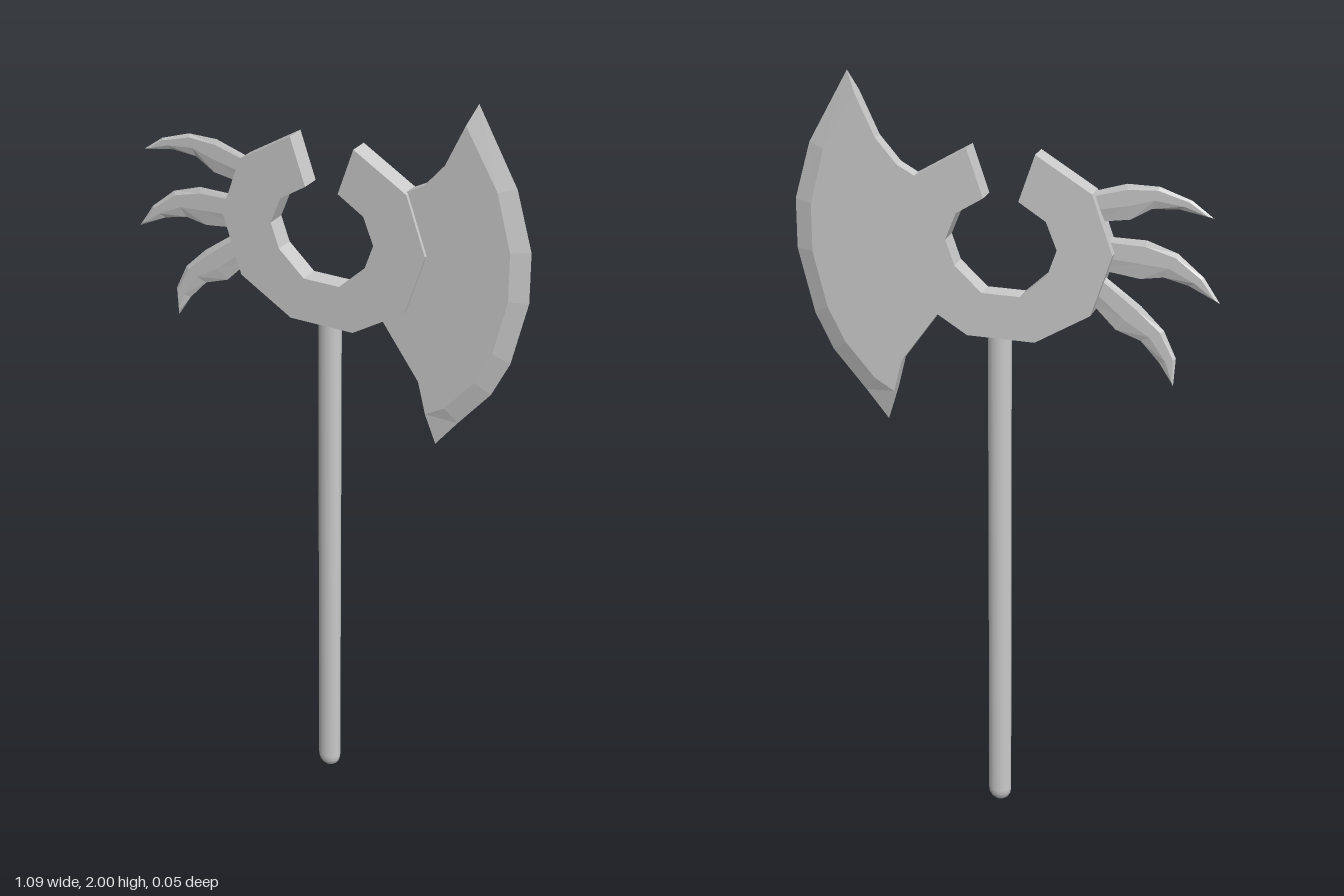
import * as THREE from 'three';

const flat = new THREE.MeshStandardMaterial({ color: 0xcccccc, flatShading: true });
const smooth = new THREE.MeshStandardMaterial({ color: 0xcccccc });

const vecs = (list) => list.map(([x, y]) => new THREE.Vector2(x, y));

function addMesh(group, name, geometry, material) {
  const mesh = new THREE.Mesh(geometry, material);
  mesh.name = name;
  group.add(mesh);
  return mesh;
}

// Slab with flat faces at z = +-t whose rim slopes out to an edge at z = 0.
// face and edge hold matching points; where they coincide the rim is upright.
function bevelledSlab(face, edge, t) {
  if (THREE.ShapeUtils.isClockWise(edge)) {
    face = [...face].reverse();
    edge = [...edge].reverse();
  }
  const pos = [];
  const tri = (...corners) => corners.forEach(([p, z]) => pos.push(p.x, p.y, z));
  for (const [a, b, c] of THREE.ShapeUtils.triangulateShape(face, [])) {
    tri([face[a], t], [face[b], t], [face[c], t]);
    tri([face[a], -t], [face[c], -t], [face[b], -t]);
  }
  face.forEach((f, i) => {
    const j = (i + 1) % face.length;
    const g = face[j], e = edge[i], h = edge[j];
    tri([f, t], [e, 0], [h, 0]);
    tri([f, t], [h, 0], [g, t]);
    tri([f, -t], [h, 0], [e, 0]);
    tri([f, -t], [g, -t], [h, 0]);
  });
  const geometry = new THREE.BufferGeometry();
  geometry.setAttribute('position', new THREE.Float32BufferAttribute(pos, 3));
  geometry.computeVertexNormals();
  return geometry;
}

// Curved claw: upper and lower lines run from tip to root
function clawGeometry(tip, upper, lower) {
  const up = vecs(upper), low = vecs(lower), point = new THREE.Vector2(...tip);
  const innerUp = up.map((p, i) => p.clone().lerp(low[i], 0.15));
  const innerLow = low.map((p, i) => p.clone().lerp(up[i], 0.4));
  const innerTip = point.clone().lerp(up[0].clone().add(low[0]).multiplyScalar(0.5), 0.2);
  return bevelledSlab(
    [innerTip, ...innerLow, ...innerUp.reverse()],
    [point, ...low, ...up.reverse()],
    0.006
  );
}

export function createModel() {
  const model = new THREE.Group();
  model.name = 'axe';

  // Slightly flattened handle with a rounded foot
  const profile = vecs([[0, 0], [0.013, 0.003], [0.023, 0.011], [0.029, 0.022], [0.031, 0.036], [0.031, 1.38], [0, 1.38]]);
  const shaft = new THREE.LatheGeometry(profile.slice(0, 6), 16);
  shaft.scale(1, 1, 0.74);
  addMesh(model, 'handle', shaft, smooth).position.x = 0.01;

  // Open ring: one half of the outline, mirrored across x
  const outer = [[0.087, 1.836], [0.23, 1.75], [0.283, 1.6], [0.23, 1.44], [0.088, 1.354]];
  const inner = [[0.05, 1.47], [0.12, 1.535], [0.143, 1.6], [0.115, 1.67], [0.045, 1.714]];
  const mirror = (list) => list.map(([x, y]) => [-x, y]).reverse();
  const ringShape = new THREE.Shape(vecs([...outer, ...mirror(outer), ...mirror(inner), ...inner]));
  const ring = new THREE.ExtrudeGeometry(ringShape, { depth: 0.052, bevelEnabled: false });
  ring.translate(0, 0, -0.026);
  addMesh(model, 'ring', ring, flat);

  // Blade: upright back, sharpened front; the back stays hidden in the ring
  const back = vecs([[0.267, 1.26], [0.167, 1.4], [0.17, 1.5], [0.2, 1.6], [0.18, 1.7], [0.22, 1.75], [0.27, 1.777], [0.325, 1.84]]);
  const cutting = vecs([[0.4, 2], [0.505, 1.81], [0.547, 1.66], [0.547, 1.53], [0.505, 1.36], [0.457, 1.265], [0.37, 1.164], [0.31, 1.09]]);
  const bevel = vecs([[0.376, 1.948], [0.462, 1.8], [0.5, 1.655], [0.5, 1.53], [0.464, 1.385], [0.418, 1.295], [0.34, 1.205], [0.286, 1.185]]);
  bevel[7].set(0.288, 1.175);
  addMesh(model, 'blade', bevelledSlab([...back, ...bevel], [...back, ...cutting], 0.017), flat);

  // Three claws opposite the blade
  const claws = [
    [[-0.525, 1.71],
      [[-0.47, 1.75], [-0.39, 1.777], [-0.31, 1.777], [-0.22, 1.749]],
      [[-0.44, 1.725], [-0.372, 1.72], [-0.32, 1.688], [-0.22, 1.672]]],
    [[-0.547, 1.497],
      [[-0.505, 1.56], [-0.44, 1.614], [-0.362, 1.64], [-0.23, 1.64]],
      [[-0.468, 1.535], [-0.405, 1.55], [-0.347, 1.54], [-0.23, 1.555]]],
    [[-0.437, 1.27],
      [[-0.442, 1.344], [-0.41, 1.413], [-0.352, 1.47], [-0.235, 1.555]],
      [[-0.4, 1.328], [-0.352, 1.38], [-0.288, 1.402], [-0.22, 1.47]]],
  ];
  claws.forEach((claw, i) => addMesh(model, `claw${i + 1}`, clawGeometry(...claw), flat));

  return model;
}
